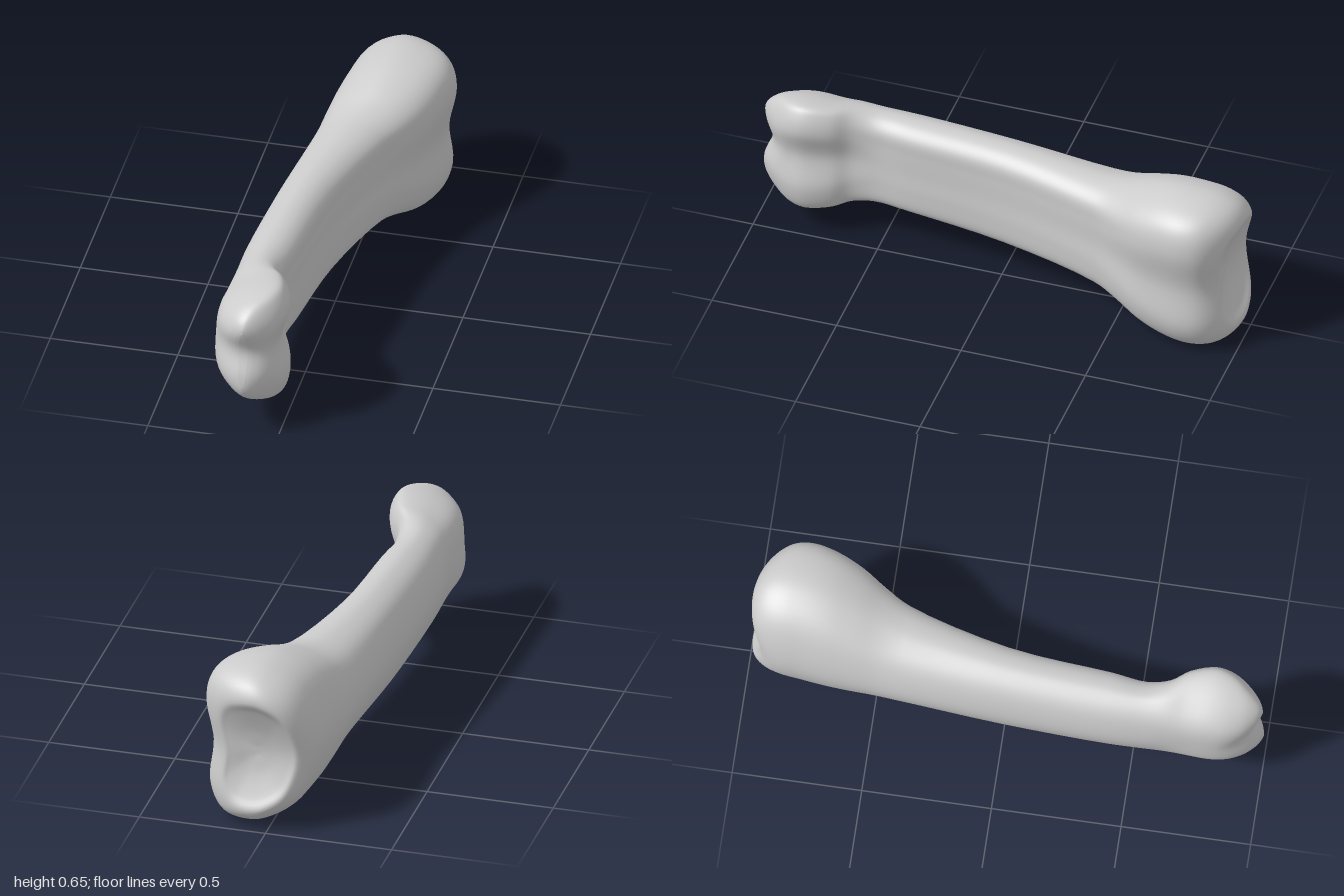
import * as THREE from 'three';

const { smoothstep, clamp, lerp } = THREE.MathUtils;

// Normalised outlines (-1..1), counter-clockwise from the middle of the flat +x side
const BASE = [[.87, -.06], [1, .47], [.89, .8], [.52, .97], [-.1, 1], [-.7, .73],
  [-1, .05], [-.76, -.62], [-.25, -.92], [.25, -1], [.7, -.93], [.93, -.6]];
const SHAFT = [[.93, 0], [.9, .42], [.84, .76], [.45, .97], [-.1, .98], [-.7, .7],
  [-1, 0], [-.72, -.66], [-.1, -.95], [.5, -1], [.92, -.84], [.98, -.42]];
const HEAD = [[.79, .06], [1, .56], [.88, .87], [.59, 1], [-.15, .9], [-.8, .62],
  [-.97, .06], [-.9, -.45], [-.35, -.76], [.45, -.98], [.85, -.92], [1, -.5]];

// Extents from the back rim to the head: z, xMin, xMax, yMin, yMax
const BODY = [
  [-1, -.11, .2, .08, .54],
  [-.97, -.145, .25, .035, .595],
  [-.9, -.168, .275, .008, .63],
  [-.8, -.18, .28, 0, .64],
  [-.7, -.193, .262, .01, .63],
  [-.6, -.203, .225, .037, .60],
  [-.5, -.21, .168, .075, .562],
  [-.4, -.22, .115, .10, .543],
  [0, -.255, 0, .12, .54],
  [.4, -.28, -.045, .143, .542],
  [.54, -.278, -.065, .143, .543],
  [.63, -.275, -.055, .132, .56],
  [.7, -.276, -.015, .116, .574],
  [.8, -.28, .01, .105, .585],
];

const bump = (v, centre, width) => Math.exp(-(((v - centre) / width) ** 2));

// A station is a centre, half sizes and z
const body = BODY.map(([z, x0, x1, y0, y1]) => ({
  z, x: (x0 + x1) / 2, y: (y0 + y1) / 2, w: (x1 - x0) / 2, h: (y1 - y0) / 2,
}));

// Shallow socket inside the back rim
const rim = body[0];
const socket = [.1, .4, .8].map(k => (
  { ...rim, z: -.94 - .06 * k * k, w: rim.w * k, h: rim.h * k }));

// Rounded front of the head, closing to a narrow upright strip
const neck = body[body.length - 1];
const cap = [.35, .7, 1.05, 1.3, 1.47].map(a => ({
  ...neck,
  z: .8 + .2 * Math.sin(a),
  w: neck.w * Math.cos(a),
  h: neck.h - .13 * (1 - Math.cos(a)),
}));

// Points around one station, blended from the outlines
function ring({ z, x, y, w, h }, count) {
  const base = smoothstep(-z, .25, .8);
  const head = smoothstep(z, .53, .74);
  const round = .75 * smoothstep(z, .82, 1);
  const end = clamp((-z - .7) / .3, 0, 1) ** 2;
  const control = SHAFT.map((s, i) => {
    const angle = i * Math.PI / 6;
    const mix = k => s[k] * (1 - base - head) + BASE[i][k] * base + HEAD[i][k] * head;
    return new THREE.Vector3(
      x + lerp(mix(0), Math.cos(angle), round) * w,
      y + lerp(mix(1), Math.sin(angle), round) * h, z);
  });
  const curve = new THREE.CatmullRomCurve3(control, true, 'catmullrom', 0.5);
  return Array.from({ length: count }, (_, j) => {
    const p = curve.getPoint(j / count);
    // saddle-shaped rim at the back
    p.z += end * (1.5 * (p.x - .02) ** 2 + .03 * bump(p.y, .3, .14));
    // groove between the two rounded knuckles at the front
    p.z -= .04 * bump(p.y, .365, .075) * smoothstep(z, .75, 1);
    return p;
  });
}

// Smooth skin through all stations, from back to front
function loft(stations, around, along) {
  const rings = stations.map(s => ring(s, around));
  const lines = rings[0].map((_, j) => new THREE.CatmullRomCurve3(rings.map(r => r[j])));
  const positions = [], index = [];
  for (let i = 0; i <= along; i++) {
    for (const line of lines) positions.push(...line.getPoint(i / along).toArray());
  }
  for (let i = 0; i < along; i++) {
    for (let j = 0; j < around; j++) {
      const a = i * around + j, b = i * around + (j + 1) % around;
      index.push(a, b, a + around, b, b + around, a + around);
    }
  }
  // close both tips with strips running from the top of the ring to its bottom
  const last = along * around, top = around / 4;
  for (let k = 0; k < around / 2; k++) {
    const [a, b, c, d] = [top - k - 1, top - k, top + k, top + k + 1]
      .map(j => (j + around) % around);
    index.push(a, c, b, a, d, c);
    index.push(last + a, last + b, last + c, last + a, last + c, last + d);
  }
  const geometry = new THREE.BufferGeometry();
  geometry.setAttribute('position', new THREE.Float32BufferAttribute(positions, 3));
  geometry.setIndex(index);
  geometry.computeVertexNormals();
  return geometry;
}

export function createModel() {
  const group = new THREE.Group();
  group.name = 'fingerBone';
  const stations = [...socket, ...body, ...cap];
  const bone = new THREE.Mesh(
    loft(stations, 72, (stations.length - 1) * 4),
    new THREE.MeshStandardMaterial({ color: 0xcccccc }));
  bone.name = 'bone';
  group.add(bone);
  return group;
}
